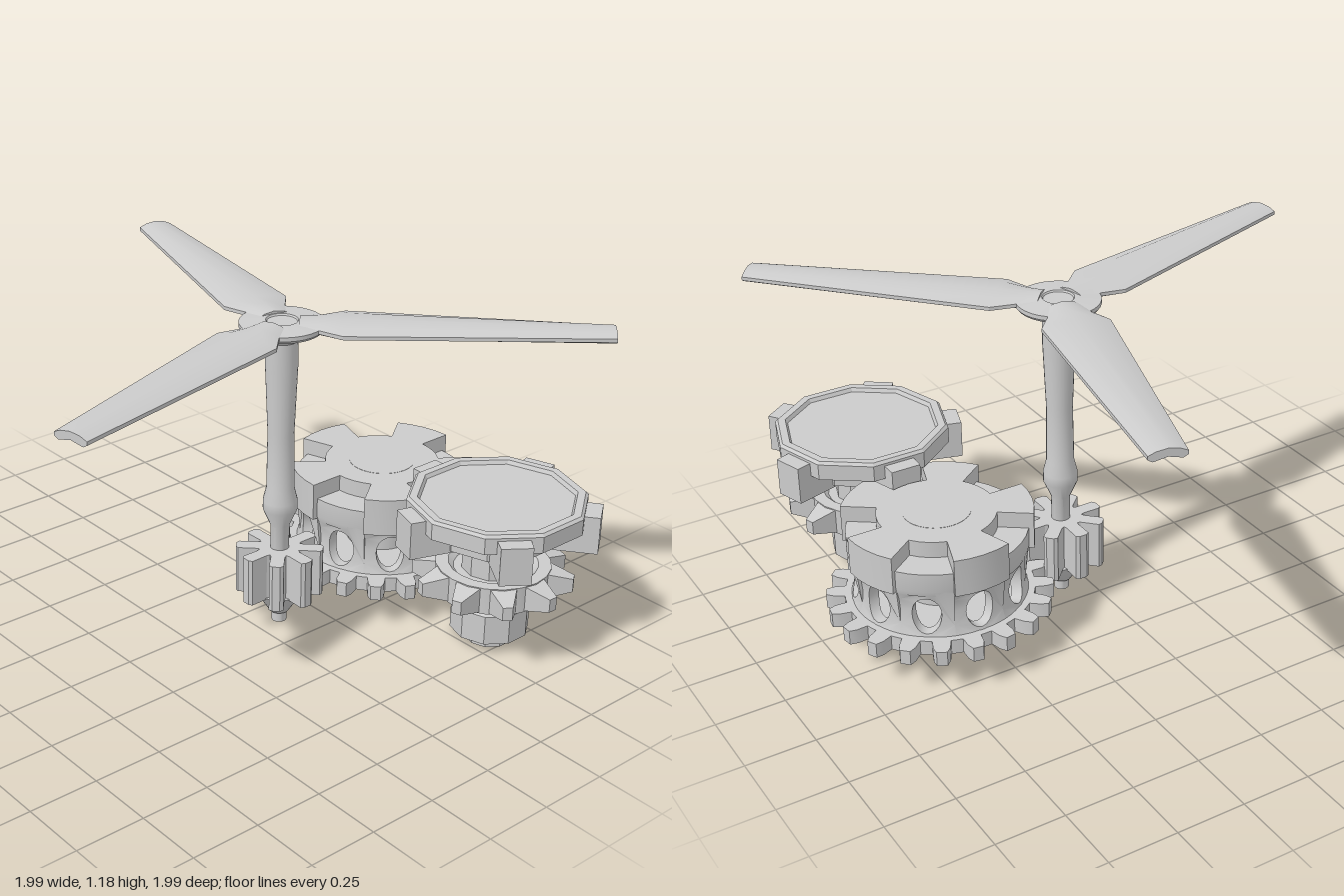
import * as THREE from 'three';
import { toCreasedNormals } from 'three/addons/utils/BufferGeometryUtils.js';

const material = new THREE.MeshStandardMaterial({ color: 0xcccccc });
const rad = THREE.MathUtils.degToRad;

function add(parent, name, geometry, crease = 0.6) {
  const mesh = new THREE.Mesh(toCreasedNormals(geometry, crease), material);
  mesh.name = name;
  parent.add(mesh);
  return mesh;
}

function group(parent, name, x, z) {
  const g = new THREE.Group();
  g.name = name;
  g.position.set(x, 0, z);
  parent.add(g);
  return g;
}

// Turned solid from [radius, height] pairs, bottom to top
const lathe = (profile, sides = 32) =>
  new THREE.LatheGeometry(profile.map(([r, y]) => new THREE.Vector2(r, y)), sides);

// Flat plan shape raised from y0 to y1
function slab(shape, y0, y1) {
  const g = new THREE.ExtrudeGeometry(shape, { depth: y1 - y0, bevelEnabled: false, curveSegments: 24 });
  return g.rotateX(-Math.PI / 2).translate(0, y0, 0);
}

// Closed outline repeating [angle offset in degrees, radius] pairs n times
function toothedShape(n, phase, tooth) {
  const pts = [];
  for (let i = 0; i < n; i++) {
    for (const [a, r] of tooth) {
      const t = rad(phase + (360 / n) * i + a);
      pts.push(new THREE.Vector2(r * Math.cos(t), r * Math.sin(t)));
    }
  }
  return new THREE.Shape(pts);
}

// Ring of block teeth, their outer ends scaled by taper
function blockTeeth(parent, name, n, phase, r0, r1, width, y0, y1, taperX, taperY) {
  for (let i = 0; i < n; i++) {
    const g = new THREE.BoxGeometry(width, y1 - y0, r1 - r0);
    const p = g.attributes.position;
    for (let k = 0; k < p.count; k++) {
      if (p.getZ(k) > 0) p.setXY(k, p.getX(k) * taperX, p.getY(k) * taperY);
    }
    g.translate(0, (y0 + y1) / 2, (r0 + r1) / 2);
    add(parent, name, g, 0.1).rotation.y = rad(phase + (360 / n) * i);
  }
}

// Rotor: shaft, pinion, hub and three blades
function buildRotor(root) {
  const rotor = group(root, 'rotor', 0.105, -0.1);
  add(rotor, 'rotorShaft', lathe([
    [0, 0], [0.027, 0], [0.027, 0.035], [0.035, 0.04], [0.09, 0.125], [0.034, 0.13], [0.034, 0.39],
    [0.062, 0.455], [0.062, 0.49], [0.05, 0.54], [0.047, 0.75], [0.057, 1.0], [0.057, 1.12], [0, 1.12],
  ], 24));
  add(rotor, 'pinion', slab(toothedShape(8, 0, [
    [-22.5, 0.075], [-17, 0.085], [-10, 0.15], [-5, 0.157], [5, 0.157], [10, 0.15], [17, 0.085],
  ]), 0.12, 0.3), 0.3);
  add(rotor, 'rotorHub', lathe([
    [0, 1.1], [0.057, 1.1], [0.075, 1.12], [0.14, 1.14], [0.148, 1.15], [0.148, 1.165],
    [0.056, 1.172], [0.052, 1.166], [0, 1.166],
  ]), 0.5);

  // Each station is [distance from shaft, half width]
  const stations = [[0.06, 0.06], [0.13, 0.075], [0.21, 0.119], [1.117, 0.063]];
  const section = [
    [-1, 1.152], [-0.75, 1.143], [0, 1.154], [0.75, 1.143], [1, 1.152],
    [1, 1.165], [0.6, 1.176], [0, 1.182], [-0.6, 1.176], [-1, 1.165],
  ].map(([x, y]) => new THREE.Vector2(x, y));
  for (let i = 0; i < 3; i++) {
    const g = new THREE.ExtrudeGeometry(new THREE.Shape(section), { depth: 3, steps: 3, bevelEnabled: false });
    const p = g.attributes.position;
    for (let k = 0; k < p.count; k++) {
      const [u, w] = stations[Math.round(p.getZ(k))];
      p.setX(k, p.getX(k) * w);
      p.setZ(k, u);
    }
    add(rotor, 'blade', g, 0.4).rotation.y = rad(15.6 + 120 * i);
  }
}

// One curved drum panel spanning 36 degrees with an oval window
function drumPanel() {
  const R = 0.3, half = (R * Math.PI) / 10, y0 = 0.17, y1 = 0.36, n = 6;
  const pts = [];
  for (let i = 0; i <= n; i++) pts.push(new THREE.Vector2(-half + (2 * half * i) / n, y0));
  pts.push(new THREE.Vector2(half, 0.21), new THREE.Vector2(half, 0.26), new THREE.Vector2(half, 0.31));
  for (let i = n; i >= 0; i--) pts.push(new THREE.Vector2(-half + (2 * half * i) / n, y1));
  pts.push(new THREE.Vector2(-half, 0.31), new THREE.Vector2(-half, 0.26), new THREE.Vector2(-half, 0.21));
  const shape = new THREE.Shape(pts);
  shape.holes.push(new THREE.Path().absellipse(0, 0.255, 0.052, 0.07, 0, Math.PI * 2, true));
  const g = new THREE.ExtrudeGeometry(shape, { depth: 0.04, bevelEnabled: false, curveSegments: 10 });
  const p = g.attributes.position;
  for (let k = 0; k < p.count; k++) {
    const a = p.getX(k) / R, y = p.getY(k);
    const r = 0.255 + p.getZ(k) + 2.2 * (y - 0.26) ** 2;
    p.setXYZ(k, r * Math.sin(a), y, r * Math.cos(a));
  }
  return g;
}

// Main gear: toothed base ring, windowed drum and slotted crown
function buildMainGear(root) {
  const gear = group(root, 'mainGear', 0.1, -0.6);
  const ring = toothedShape(20, 9, [
    [-9, 0.335], [-5.5, 0.335], [-4.4, 0.375], [-2.6, 0.4], [2.6, 0.4], [4.4, 0.375], [5.5, 0.335],
  ]);
  ring.holes.push(new THREE.Path().absarc(0, 0, 0.29, 0, Math.PI * 2, true));
  add(gear, 'toothedRing', slab(ring, 0.12, 0.175), 0.4);
  add(gear, 'drumFloor', lathe([[0, 0.137], [0.3, 0.137], [0.3, 0.174], [0, 0.174]], 40));
  add(gear, 'mainAxle', lathe([[0, 0], [0.12, 0], [0.12, 0.491], [0, 0.491]]));
  for (let i = 0; i < 10; i++) add(gear, 'drumPanel', drumPanel()).rotation.y = rad(18 + 36 * i);
  add(gear, 'drumTop', lathe([[0, 0.34], [0.312, 0.34], [0.318, 0.36], [0.318, 0.43], [0, 0.43]], 40));
  add(gear, 'slottedCrown', slab(toothedShape(5, 36, [
    [-36, 0.21], [-27, 0.21], [-18, 0.21], [-18, 0.337], [-9, 0.337], [0, 0.337],
    [9, 0.337], [18, 0.337], [18, 0.21], [27, 0.21],
  ]), 0.35, 0.49), 0.2);
}

// Side gear: faceted foot and column, pointed sprocket and capped five-tooth wheel
function buildSideGear(root) {
  const gear = group(root, 'sideGear', 0.675, -0.605);
  const flat = 0.1;
  add(gear, 'foot', lathe([[0, 0], [0.085, 0], [0.085, 0.05], [0, 0.05]], 10), flat);
  add(gear, 'collar', lathe([[0, 0.045], [0.142, 0.045], [0.142, 0.155], [0.115, 0.177], [0, 0.177]], 10), flat);
  add(gear, 'column', lathe([[0, 0.17], [0.112, 0.17], [0.112, 0.43], [0, 0.43]], 10), flat);
  add(gear, 'sprocketDisc', lathe([
    [0, 0.225], [0.14, 0.225], [0.16, 0.205], [0.205, 0.205], [0.205, 0.305], [0.16, 0.305], [0.14, 0.285], [0, 0.285],
  ], 20));
  blockTeeth(gear, 'sprocketTooth', 10, 90, 0.185, 0.285, 0.1, 0.205, 0.305, 0.35, 0.5);
  add(gear, 'wheelBody', lathe([[0, 0.42], [0.22, 0.42], [0.22, 0.51], [0, 0.51]], 10), flat);
  blockTeeth(gear, 'wheelTooth', 5, -90, 0.19, 0.36, 0.12, 0.41, 0.55, 0.92, 1);
  add(gear, 'wheelCap', lathe([
    [0, 0.5], [0.32, 0.5], [0.32, 0.56], [0.31, 0.57], [0.282, 0.57], [0.274, 0.556], [0, 0.556],
  ], 10), flat);
}

export function createModel() {
  const model = new THREE.Group();
  model.name = 'gearAssembly';
  buildRotor(model);
  buildMainGear(model);
  buildSideGear(model);
  return model;
}
